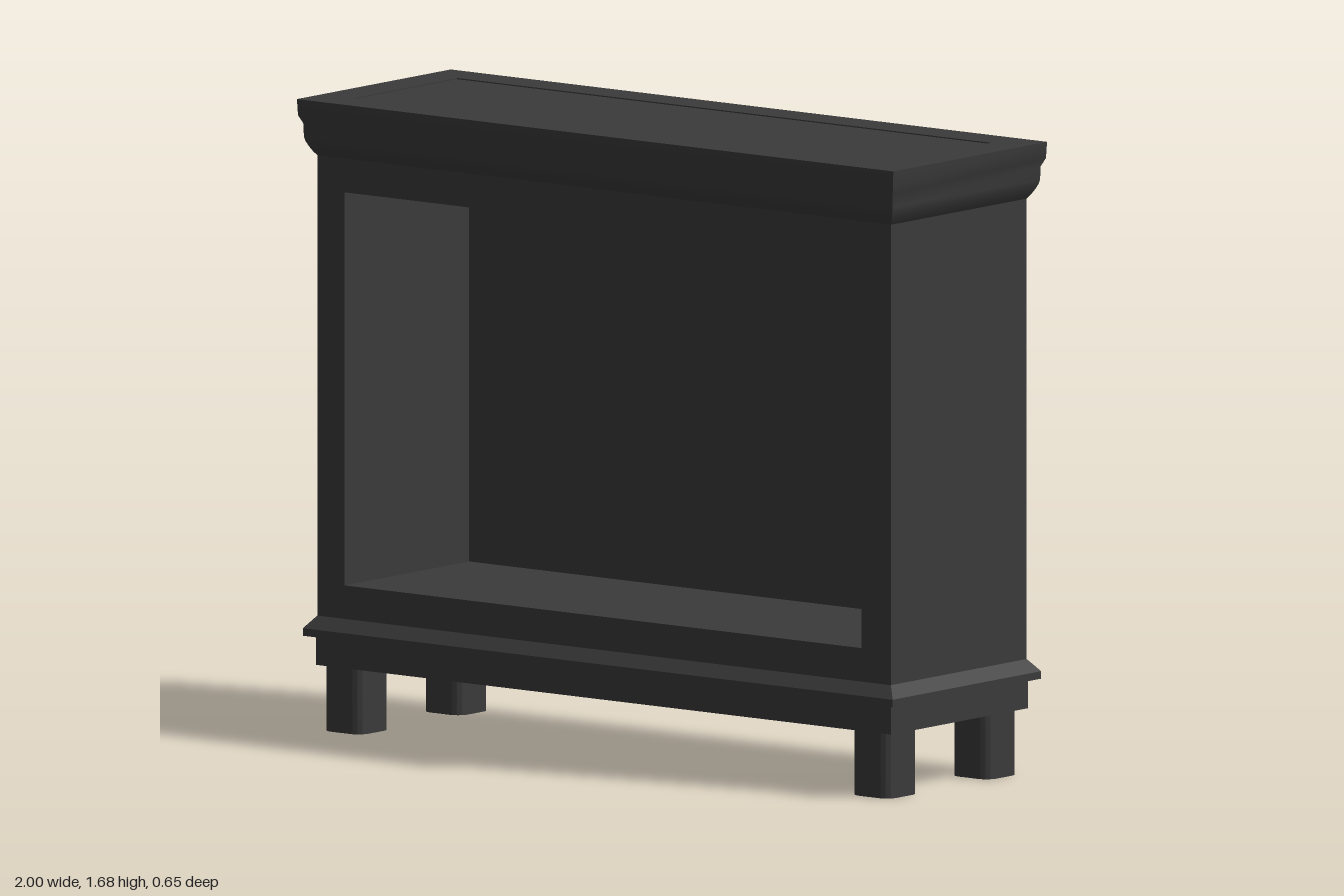
import * as THREE from 'three';
import { toCreasedNormals } from 'three/addons/utils/BufferGeometryUtils.js';

const HX = 0.962, HZ = 0.287; // half width and half depth of the carcass

// Rectangular moulding: each profile point is [outward offset, y], bottom to top, capped at both ends
function moulding(profile) {
  const rings = profile.map(([d, y]) => [[1, 1], [1, -1], [-1, -1], [-1, 1]]
    .map(([sx, sz]) => [sx * (HX + d), y, sz * (HZ + d)]));
  const pos = [];
  const quad = (a, b, c, d) => pos.push(...a, ...b, ...c, ...a, ...c, ...d);
  for (let i = 0; i < rings.length - 1; i++) {
    for (let k = 0; k < 4; k++) {
      const n = (k + 1) % 4;
      quad(rings[i][k], rings[i][n], rings[i + 1][n], rings[i + 1][k]);
    }
  }
  const [first, last] = [rings[0], rings[rings.length - 1]];
  quad(first[3], first[2], first[1], first[0]);
  quad(last[0], last[1], last[2], last[3]);
  const geo = new THREE.BufferGeometry();
  geo.setAttribute('position', new THREE.Float32BufferAttribute(pos, 3));
  return toCreasedNormals(geo, 0.5);
}

function rect(path, x0, y0, x1, y1) {
  path.moveTo(x0, y0);
  path.lineTo(x1, y0);
  path.lineTo(x1, y1);
  path.lineTo(x0, y1);
  path.closePath();
  return path;
}

// Square leg with rounded vertical edges
function legGeometry(size, radius, height) {
  const h = size / 2, c = h - radius;
  const s = new THREE.Shape();
  s.absarc(c, c, radius, 0, Math.PI / 2);
  s.absarc(-c, c, radius, Math.PI / 2, Math.PI);
  s.absarc(-c, -c, radius, Math.PI, Math.PI * 1.5);
  s.absarc(c, -c, radius, Math.PI * 1.5, Math.PI * 2);
  const geo = new THREE.ExtrudeGeometry(s, { depth: height, bevelEnabled: false, curveSegments: 6 });
  geo.rotateX(-Math.PI / 2);
  return toCreasedNormals(geo, 0.6);
}

export function createModel() {
  const group = new THREE.Group();
  const material = new THREE.MeshStandardMaterial({ color: 0x3a3a3a });
  const add = (name, geo, x = 0, y = 0, z = 0) => {
    const mesh = new THREE.Mesh(geo, material);
    mesh.name = name;
    mesh.position.set(x, y, z);
    group.add(mesh);
  };

  // Carcass: deep frame around the open compartment, closed by a back panel
  const bottom = 0.3, top = 1.535, back = 0.048;
  const frame = rect(new THREE.Shape(), -HX, bottom, HX, top);
  frame.holes.push(rect(new THREE.Path(), -0.87, 0.395, 0.863, 1.44));
  add('carcass', new THREE.ExtrudeGeometry(frame, { depth: 2 * HZ - back, bevelEnabled: false }), 0, 0, -HZ + back);
  add('backPanel', new THREE.BoxGeometry(2 * HX, top - bottom, back), 0, (top + bottom) / 2, -HZ + back / 2);

  // Crown moulding and top board with a very shallow inset panel
  add('cornice', moulding([
    [0, 1.53], [0.008, 1.541], [0.016, 1.555], [0.022, 1.568], [0.025, 1.58],
    [0.026, 1.615], [0.036, 1.637], [0.038, 1.68], [-0.067, 1.68], [-0.067, 1.677],
  ]));

  // Plinth with a projecting sloped lip
  add('plinth', moulding([
    [0.002, 0.175], [0.002, 0.253], [0.027, 0.253], [0.027, 0.273], [0, 0.306],
  ]));

  // Four legs
  const leg = legGeometry(0.133, 0.035, 0.178);
  for (const [side, x] of [['Left', 0.882], ['Right', -0.89]]) {
    for (const [end, z] of [['front', 0.212], ['back', -0.209]]) add(`${end}${side}Leg`, leg, x, 0, z);
  }
  return group;
}
